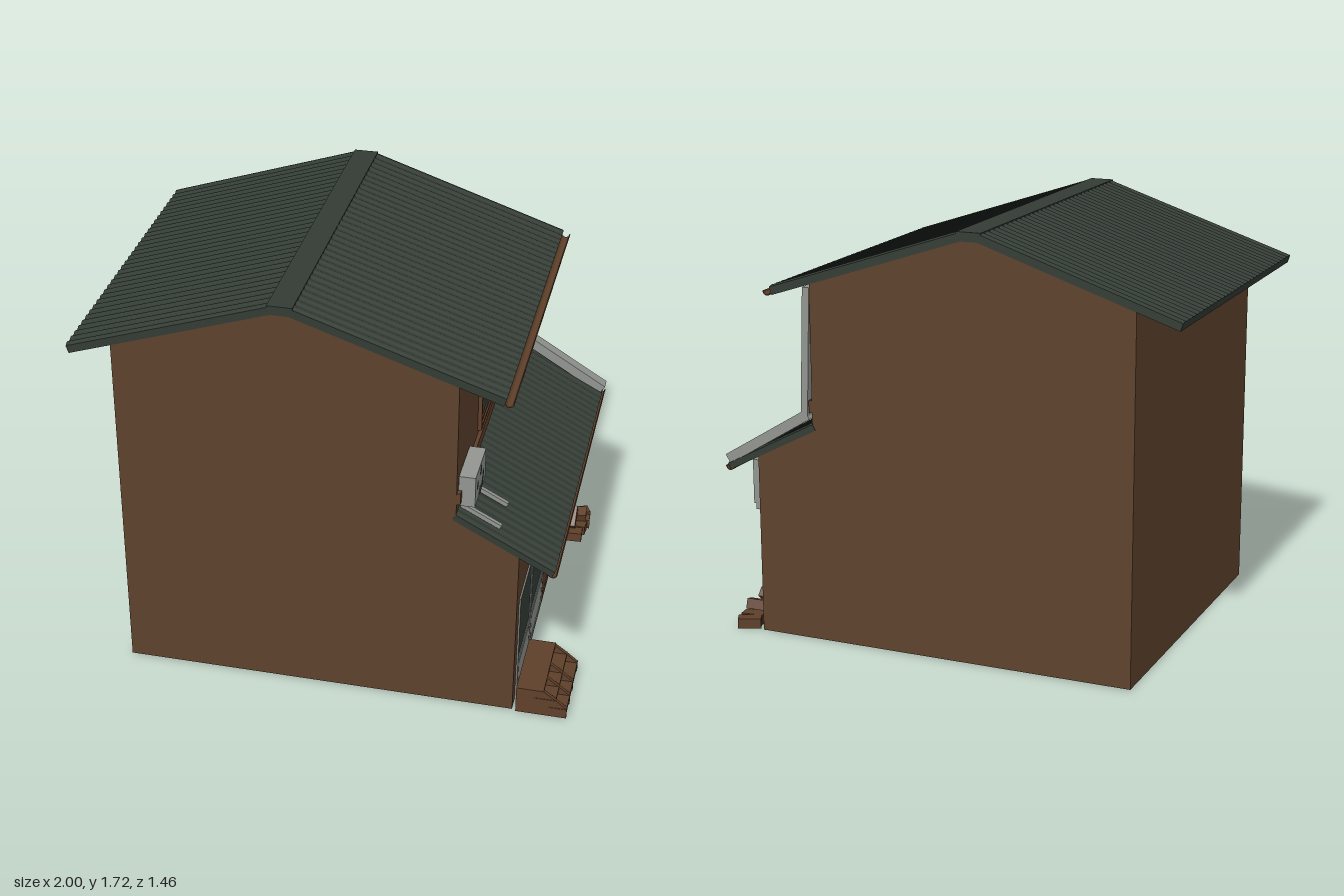
import * as THREE from 'three';

const mat = (name, color, side = THREE.FrontSide) => {
  const m = new THREE.MeshStandardMaterial({ color, side });
  m.name = name;
  return m;
};

export function createModel() {
  const house = new THREE.Group();
  house.name = 'house';
  const wall = mat('brown wall', 0x5e422d, THREE.DoubleSide);
  const wood = mat('wood trim', 0x5f402a);
  const tile = mat('dark green tile', 0x333c34);
  const glass = mat('dark glass', 0x353e38);
  const grey = mat('grey metal', 0x929590);
  const Z0 = -0.698, Z1 = 0.722, ZC = (Z0 + Z1) / 2, DEPTH = Z1 - Z0;

  const add = (name, geo, m) => {
    const mesh = new THREE.Mesh(geo, m);
    mesh.name = name;
    house.add(mesh);
    return mesh;
  };
  // Box given by its limits on each axis
  const box = (name, m, x0, x1, y0, y1, z0, z1) => {
    const mesh = add(name, new THREE.BoxGeometry(x1 - x0, y1 - y0, z1 - z0), m);
    mesh.position.set((x0 + x1) / 2, (y0 + y1) / 2, (z0 + z1) / 2);
    return mesh;
  };
  // Bar laid between two points of the xy plane
  const bar = (name, m, ax, ay, bx, by, thick, zc, width) => {
    const mesh = add(name, new THREE.BoxGeometry(Math.hypot(bx - ax, by - ay), thick, width), m);
    mesh.position.set((ax + bx) / 2, (ay + by) / 2, zc);
    mesh.rotation.z = Math.atan2(by - ay, bx - ax);
    return mesh;
  };
  // Rectangular frame standing on a wall that faces +x
  const frame = (name, m, x0, x1, y0, y1, z0, z1, t) => {
    box(name, m, x0, x1, y0, y0 + t, z0, z1);
    box(name, m, x0, x1, y1 - t, y1, z0, z1);
    box(name, m, x0, x1, y0 + t, y1 - t, z0, z0 + t);
    box(name, m, x0, x1, y0 + t, y1 - t, z1 - t, z1);
  };
  // Outline in xy, and the same outline extruded along z
  const outline = pts => new THREE.Shape(pts.map(p => new THREE.Vector2(...p)));
  const prism = (pts, z0, z1) =>
    new THREE.ExtrudeGeometry(outline(pts), { depth: z1 - z0, bevelEnabled: false }).translate(0, 0, z0);

  // Hollow shell of walls, open underneath, lower storey reaching further forward
  const gable = outline([[-0.82, 0], [0.78, 0], [0.78, 0.755], [0.53, 0.885], [0.53, 1.475],
    [-0.1, 1.69], [-0.2, 1.69], [-0.82, 1.48]]);
  add('frontGable', new THREE.ShapeGeometry(gable).translate(0, 0, Z1 - 0.002), wall);
  const back = add('backGable', new THREE.ShapeGeometry(gable), wall);
  back.geometry.scale(-1, 1, 1).rotateY(Math.PI).translate(0, 0, Z0 + 0.002);
  back.geometry.index.array.reverse();
  for (const [name, x, y0, y1, turn] of [['leftWall', -0.82, 0, 1.48, -1], ['lowerWall', 0.78, 0, 0.755, 1],
    ['upperWall', 0.53, 0.885, 1.475, 1]]) {
    const geo = new THREE.PlaneGeometry(DEPTH - 0.004, y1 - y0);
    add(name, geo.rotateY(turn * Math.PI / 2).translate(x, (y0 + y1) / 2, ZC), wall);
  }

  // Corrugated roof slope: wavy section swept from (ax, ay) to (bx, by)
  const slope = (name, ax, ay, bx, by, thick) => {
    const waves = 33, steps = 8, pts = [[DEPTH / 2, -thick]];
    for (let i = waves * steps; i >= 0; i--) {
      const t = i / (waves * steps);
      pts.push([(t - 0.5) * DEPTH, -0.003 * Math.cos(t * waves * 2 * Math.PI)]);
    }
    pts.push([-DEPTH / 2, -thick]);
    const length = Math.hypot(bx - ax, by - ay), dx = (bx - ax) / length, dy = (by - ay) / length;
    const geo = new THREE.ExtrudeGeometry(outline(pts), { depth: length, bevelEnabled: false });
    geo.applyMatrix4(new THREE.Matrix4().makeBasis(new THREE.Vector3(0, 0, -1),
      new THREE.Vector3(-dy, dx, 0), new THREE.Vector3(dx, dy, 0)).setPosition(ax, ay, ZC));
    add(name, geo, tile);
  };
  slope('leftRoof', -1.0, 1.452, -0.195, 1.719, 0.035);
  slope('rightRoof', -0.105, 1.719, 0.708, 1.447, 0.036);
  slope('porchRoof', 0.53, 0.907, 0.922, 0.701, 0.03);
  add('ridgeCap', prism([[-0.2, 1.685], [-0.1, 1.685], [-0.1, 1.722], [-0.2, 1.722]], Z0, Z1), tile);

  // Half-round gutters along both front eaves
  for (const [x, y] of [[0.717, 1.428], [0.912, 0.69]]) {
    const arc = [];
    for (let i = 0; i <= 8; i++) arc.push([Math.PI + i * Math.PI / 8, 0.019]);
    for (let i = 8; i >= 0; i--) arc.push([Math.PI + i * Math.PI / 8, 0.015]);
    add('gutter', prism(arc.map(([a, r]) => [x + r * Math.cos(a), y + r * Math.sin(a)]), Z0, Z1), wood);
  }

  // Drainpipe down the wall and along the porch roof
  bar('drainpipe', grey, 0.547, 1.455, 0.567, 0.925, 0.03, -0.668, 0.052);
  bar('drainpipe', grey, 0.555, 0.94, 0.922, 0.716, 0.042, -0.668, 0.052);

  // Beam and upstairs window
  box('wallBeam', wood, 0.53, 0.545, 0.95, 1.0, Z0 + 0.004, Z1 - 0.004);
  frame('windowFrame', wood, 0.53, 0.546, 1.02, 1.4, -0.255, 0.285, 0.014);
  for (const [a, b] of [[-0.241, 0.012], [0.012, 0.271]]) {
    frame('windowSash', wood, 0.53, 0.54, 1.034, 1.386, a, b, 0.012);
    box('windowGlass', glass, 0.53, 0.535, 1.044, 1.376, a + 0.01, b - 0.01);
  }

  // Grey sliding doors
  for (const [a, b] of [[0.005, 0.335], [0.335, 0.655]]) {
    frame('glassDoorFrame', grey, 0.78, 0.786, 0.002, 0.5, a, b, 0.017);
    box('glassDoorPane', glass, 0.78, 0.782, 0.195, 0.484, a + 0.016, b - 0.016);
    box('glassDoorPanel', grey, 0.78, 0.783, 0.018, 0.195, a + 0.016, b - 0.016);
    box('glassDoorInset', grey, 0.78, 0.786, 0.035, 0.165, a + 0.025, b - 0.025);
  }

  // Wooden sliding doors with slatted panes
  const slats = [[-0.055, -0.082, -0.1, -0.24], [-0.378, -0.412, -0.555]];
  [[-0.305, 0.003], [-0.625, -0.31]].forEach(([a, b], i) => {
    frame('woodDoorFrame', wood, 0.78, 0.786, 0.002, 0.5, a, b, 0.014);
    box('woodDoorPane', glass, 0.78, 0.782, 0.28, 0.487, a + 0.013, b - 0.013);
    box('woodDoorPanel', wood, 0.78, 0.783, 0.015, 0.28, a + 0.013, b - 0.013);
    box('woodDoorInset', wood, 0.78, 0.786, 0.035, 0.245, a + 0.016, b - 0.016);
    for (const z of slats[i]) box('doorSlat', wood, 0.78, 0.786, 0.28, 0.487, z - 0.005, z + 0.005);
  });

  // Blank signboard and the lamp over it
  frame('signFrame', wood, 0.78, 0.805, 0.515, 0.66, -0.305, 0.345, 0.013);
  box('signBoard', grey, 0.78, 0.797, 0.528, 0.647, -0.292, 0.332);
  box('signLamp', grey, 0.874, 0.906, 0.645, 0.672, -0.11, 0.135);

  // Meter box on the wall
  box('meterBack', grey, 0.78, 0.8, 0.535, 0.72, -0.672, -0.555);
  frame('meterRim', grey, 0.8, 0.82, 0.535, 0.72, -0.672, -0.555, 0.009);
  box('meterSwitch', wood, 0.8, 0.808, 0.55, 0.6, -0.592, -0.57);
  for (const z of [-0.575, -0.655]) box('meterFoot', grey, 0.78, 0.812, 0.51, 0.535, z - 0.015, z + 0.015);

  // Air conditioner on the porch roof, its fan opening partly hidden by the guard
  box('airUnit', grey, 0.532, 0.597, 0.93, 1.062, 0.472, 0.692);
  for (const z of [0.66, 0.505]) bar('airUnitLeg', grey, 0.54, 0.917, 0.695, 0.836, 0.018, z, 0.018);
  const fan = [[new THREE.RingGeometry(0.028, 0.064, 20, 1, -2.5, 2.7), 0.995, 0.583],
    [new THREE.CircleGeometry(0.021, 12), 1.036, 0.588], [new THREE.CircleGeometry(0.019, 12), 1.008, 0.655]];
  for (const [geo, y, z] of fan) add('fanOpening', geo.rotateY(Math.PI / 2).translate(0.599, y, z), glass);

  // Open wooden steps between sloping stringers
  const stringer = [[0.795, 0], [1.0, 0], [1.0, 0.045], [0.957, 0.08], [0.905, 0.118], [0.795, 0.118]];
  for (const z of [0.41, 0.535, 0.625, 0.714]) add('stepStringer', prism(stringer, z, z + 0.016), wood);
  [[0.795, 0.905, 0.12], [0.87, 0.955, 0.082], [0.93, 1.0, 0.045]].forEach(([a, b, y]) =>
    box('stepTread', wood, a, b, y - 0.014, y, 0.408, 0.732));
  box('stepRail', wood, 0.985, 0.997, 0, 0.012, 0.41, 0.73);

  // Loose blocks by the far corner: x, y, z, tilt, turn
  const blocks = [[0.84, 0.022, -0.52, 0, 0.05], [0.85, 0.022, -0.583, 0, -0.1], [0.86, 0.022, -0.632, 0, 0.1],
    [0.85, 0.022, -0.688, 0, 0.45], [0.845, 0.072, -0.612, 0.3, 0.1]];
  for (const [x, y, z, tilt, turn] of blocks) {
    const block = add('looseBlock', new THREE.BoxGeometry(0.095, 0.042, 0.052), wood);
    block.position.set(x, y, z);
    block.rotation.set(tilt, turn, 0);
  }
  const leaning = add('leaningBlock', new THREE.BoxGeometry(0.05, 0.042, 0.095), wood);
  leaning.position.set(0.83, 0.09, -0.557);
  leaning.rotation.x = 0.75;

  return house;
}
